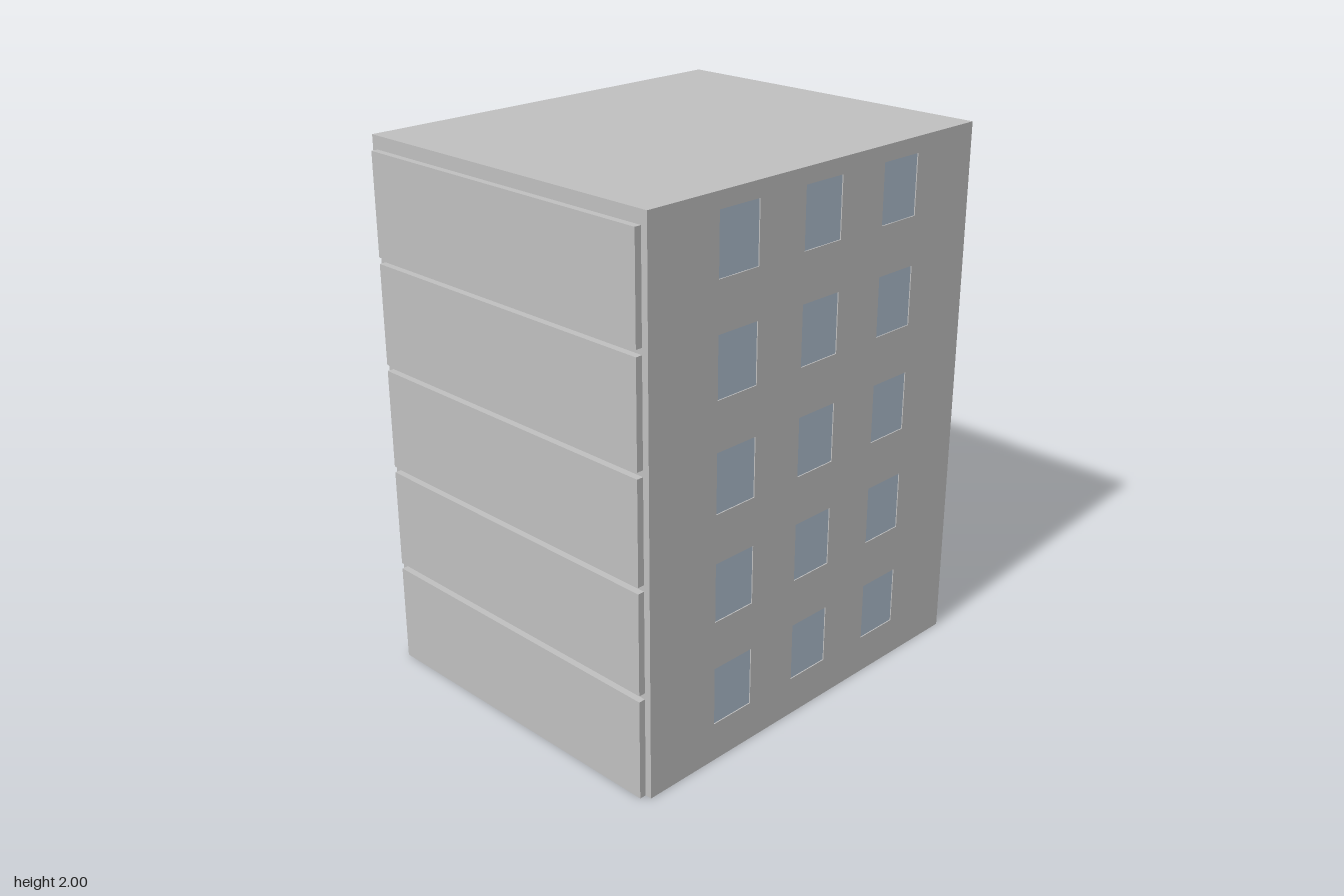
import * as THREE from 'three';

const concrete = new THREE.MeshStandardMaterial({ name: 'concrete grey', color: 0xbfbfbf });
const glass = new THREE.MeshStandardMaterial({ name: 'window blue', color: 0xacbbcb });

const FLOORS = 5, PITCH = 0.395, PANEL_H = 0.372, T = 0.025;
const X0 = -0.775, X1 = 0.8, ZW = 0.658, ZI = ZW - T;
const WIN_X = [-0.385, 0.01, 0.405], WIN_W = 0.18, WIN_H = 0.217, WIN_Y = 0.145;

export function createModel() {
  const building = new THREE.Group();
  building.name = 'building';

  // box given by its minimum and maximum corners
  const box = (name, x0, x1, y0, y1, z0, z1, mat = concrete) => {
    const mesh = new THREE.Mesh(new THREE.BoxGeometry(x1 - x0, y1 - y0, z1 - z0), mat);
    mesh.position.set((x0 + x1) / 2, (y0 + y1) / 2, (z0 + z1) / 2);
    mesh.name = name;
    building.add(mesh);
  };

  // front wall pierced by a grid of window openings
  const wall = new THREE.Shape();
  wall.moveTo(X0, 0).lineTo(X1, 0).lineTo(X1, 2).lineTo(X0, 2).closePath();
  for (let f = 0; f < FLOORS; f++) {
    const y0 = WIN_Y + f * PITCH, y1 = y0 + WIN_H;
    for (const x of WIN_X) {
      const a = x - WIN_W / 2, b = x + WIN_W / 2;
      const hole = new THREE.Path();
      hole.moveTo(a, y0).lineTo(a, y1).lineTo(b, y1).lineTo(b, y0).closePath();
      wall.holes.push(hole);
      // pane set just behind the wall face
      box('windowPane', a, b, y0, y1, ZI + 0.004, ZW - 0.004, glass);
    }
  }
  const front = new THREE.Mesh(
    new THREE.ExtrudeGeometry(wall, { depth: T, bevelEnabled: false }), concrete);
  front.position.z = ZI;
  front.name = 'frontWall';
  building.add(front);

  box('backWall', X0, X1, 0, 2, -ZW, -ZI);

  // side panels: proud of the walls at -x, recessed at +x; a slab tops each storey
  for (let f = 0; f < FLOORS; f++) {
    const y = f * PITCH, top = y + PANEL_H;
    box('outerSidePanel', X0 - T, X0, y, top, -ZI, ZI);
    box('recessedSidePanel', X1 - 2 * T, X1 - T, y, top, -ZI, ZI);
    const last = f === FLOORS - 1;
    box(last ? 'roof' : 'floorSlab', X0, X1, top, last ? 2 : y + PITCH, -ZI, ZI);
  }
  return building;
}
